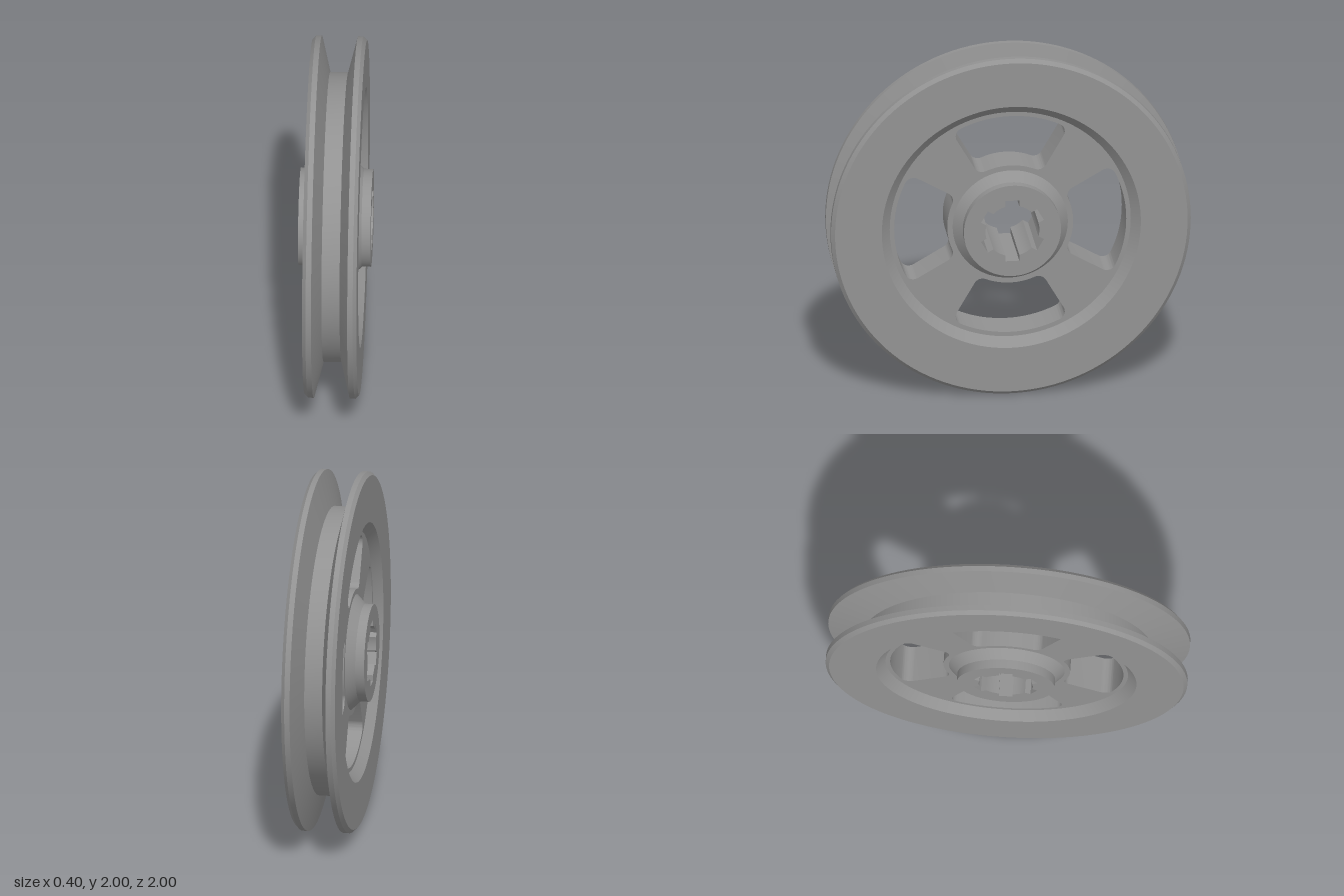
import * as THREE from 'three';
import { toCreasedNormals } from 'three/addons/utils/BufferGeometryUtils.js';

const RAD = Math.PI / 180;

export function createModel() {
  const model = new THREE.Group();
  model.name = 'pulleyWheel';
  const metal = new THREE.MeshStandardMaterial({ color: 0x929292 });
  metal.name = 'grey metal';

  const wheel = new THREE.Group();
  wheel.name = 'wheel';
  wheel.position.y = 1;
  model.add(wheel);

  const add = (name, geometry) => {
    const mesh = new THREE.Mesh(toCreasedNormals(geometry, 15 * RAD), metal);
    mesh.name = name;
    wheel.add(mesh);
  };

  // Turned part: profile of [radius, x] spun about the x axis
  const turned = (name, profile) => {
    const points = profile.map(([r, x]) => new THREE.Vector2(r, x));
    add(name, new THREE.LatheGeometry(points, 128).rotateZ(-Math.PI / 2));
  };

  // Flat part: disc with holes, centred along x
  const plate = (name, radius, depth, holes) => {
    const shape = new THREE.Shape().absarc(0, 0, radius, 0, 2 * Math.PI, false);
    shape.holes.push(...holes);
    const geometry = new THREE.ExtrudeGeometry(shape, { depth, bevelEnabled: false, curveSegments: 64 });
    add(name, geometry.translate(0, 0, -depth / 2).rotateY(Math.PI / 2));
  };

  // Grooved rim with chamfered edges
  turned('rim', [
    [0.67, -0.1], [0.72, -0.15], [0.98, -0.15], [1, -0.13], [1, -0.1],
    [0.8, -0.05], [0.8, 0.05],
    [1, 0.1], [1, 0.13], [0.98, 0.15], [0.72, 0.15], [0.67, 0.1],
  ]);

  // Web: four rounded windows leave four spokes
  const center = new THREE.Path().absarc(0, 0, 0.29, 0, 2 * Math.PI, true);
  const windows = [0, 1, 2, 3].map((i) => windowHole(i * Math.PI / 2));
  plate('spokedWeb', 0.69, 0.2, [center, ...windows]);

  // Hub with splined bore, and a sloped collar on each side
  plate('hub', 0.27, 0.4, [splinedBore()]);
  turned('hubCollarLeft', [[0.32, 0.1], [0.27, 0.15]]);
  turned('hubCollarRight', [[0.27, -0.15], [0.32, -0.1]]);

  return model;
}

// Sector-shaped window, 60 degrees wide, with filleted corners
function windowHole(a) {
  const inner = 0.35, outer = 0.645, f = 0.05;
  const ro = outer - f, ri = inner + f;
  const bo = 30 * RAD - Math.asin(f / ro);
  const bi = 30 * RAD - Math.asin(f / ri);
  const path = new THREE.Path();
  const fillet = (r, angle, from, to) =>
    path.absarc(r * Math.cos(angle), r * Math.sin(angle), f, from, to, false);
  path.absarc(0, 0, outer, a - bo, a + bo, false);
  fillet(ro, a + bo, a + bo, a + 120 * RAD);
  fillet(ri, a + bi, a + 120 * RAD, a + bi + Math.PI);
  path.absarc(0, 0, inner, a + bi, a - bi, true);
  fillet(ri, a - bi, a - bi + Math.PI, a + 240 * RAD);
  fillet(ro, a - bo, a - 120 * RAD, a - bo);
  return new THREE.Path(path.getPoints(10));
}

// Round bore with six square keyways
function splinedBore() {
  const r = 0.15, depth = 0.18, w = 0.038;
  const d = Math.asin(w / r);
  const points = [];
  for (let k = 0; k < 6; k++) {
    const phi = (30 + 60 * k) * RAD;
    const c = Math.cos(phi), s = Math.sin(phi);
    for (const v of [-w, w]) points.push(new THREE.Vector2(depth * c - v * s, depth * s + v * c));
    for (let j = 0; j <= 6; j++) {
      const t = phi + d + (60 * RAD - 2 * d) * j / 6;
      points.push(new THREE.Vector2(r * Math.cos(t), r * Math.sin(t)));
    }
  }
  return new THREE.Path(points);
}
